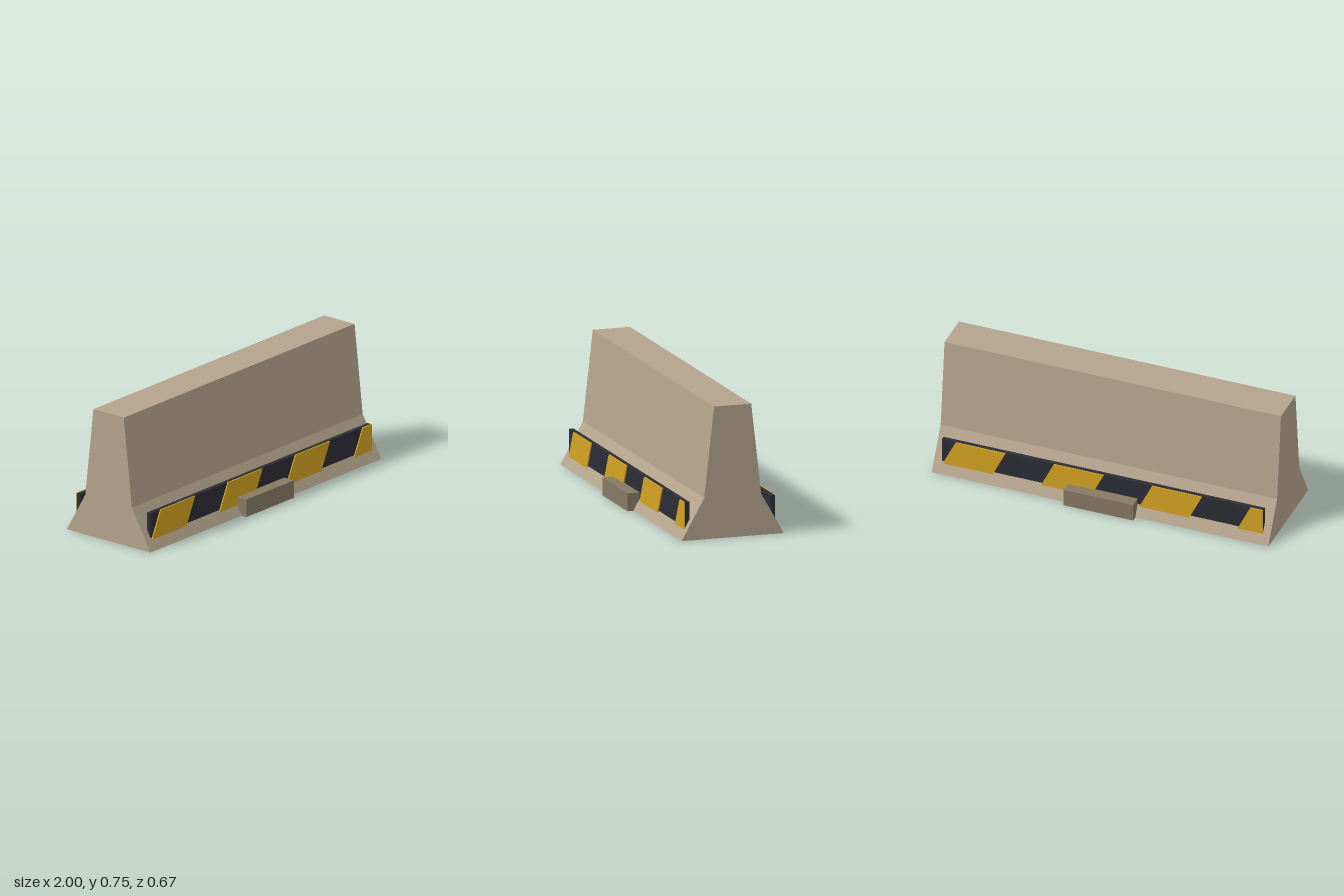
import * as THREE from 'three';

const flat = (name, color) => {
  const m = new THREE.MeshStandardMaterial({ color });
  m.name = name;
  return m;
};

const polygon = (points) => new THREE.Shape(points.map(([x, y]) => new THREE.Vector2(x, y)));

const extrude = (points, depth) =>
  new THREE.ExtrudeGeometry(polygon(points), { depth, bevelEnabled: false });

export function createModel() {
  const concrete = flat('concrete', 0xb5a48d);
  const darkConcrete = flat('darkConcrete', 0x877a64);
  const black = flat('boardBlack', 0x2c2d36);
  const yellow = flat('stripeYellow', 0xd4a422);

  const model = new THREE.Group();
  model.name = 'roadBarrier';
  const add = (parent, name, geometry, material) => {
    const mesh = new THREE.Mesh(geometry, material);
    mesh.name = name;
    parent.add(mesh);
    return mesh;
  };

  // Barrier body: stepped wedge profile swept along x
  const half = [[0.3, 0.001], [0.167, 0.235], [0.109, 0.75]];
  const profile = [...half, ...half.map(([z, y]) => [-z, y]).reverse()];
  const bodyGeometry = extrude(profile, 2).translate(0, 0, -1).rotateY(Math.PI / 2);
  add(model, 'body', bodyGeometry, concrete);

  // Foot block running through the middle of the base
  add(model, 'footBlock', new THREE.BoxGeometry(0.414, 0.102, 0.668), darkConcrete)
    .position.set(-0.002, 0.051, 0);

  // Hazard boards, the rear one turned half round
  const end = 0.955, bottom = 0.055, top = 0.21;
  for (const [name, turn] of [['frontHazardBoard', 0], ['rearHazardBoard', Math.PI]]) {
    const board = new THREE.Group();
    board.name = name;
    board.rotation.y = turn;
    model.add(board);

    add(board, 'boardPanel', new THREE.BoxGeometry(end * 2, top - bottom, 0.025), black)
      .position.set(0, (top + bottom) / 2, 0.2505);

    // Slanted stripes, the last one cut off at the board end
    for (let i = 0; i < 4; i++) {
      const x = -0.947 + i * 0.584;
      const corners = [[x, bottom], [x + 0.297, bottom], [x + 0.372, top], [x + 0.075, top]];
      const clipped = corners.map(([px, py]) => [Math.min(px, end), py]);
      add(board, 'stripe', extrude(clipped, 0.007), yellow).position.z = 0.263;
    }
  }
  return model;
}
